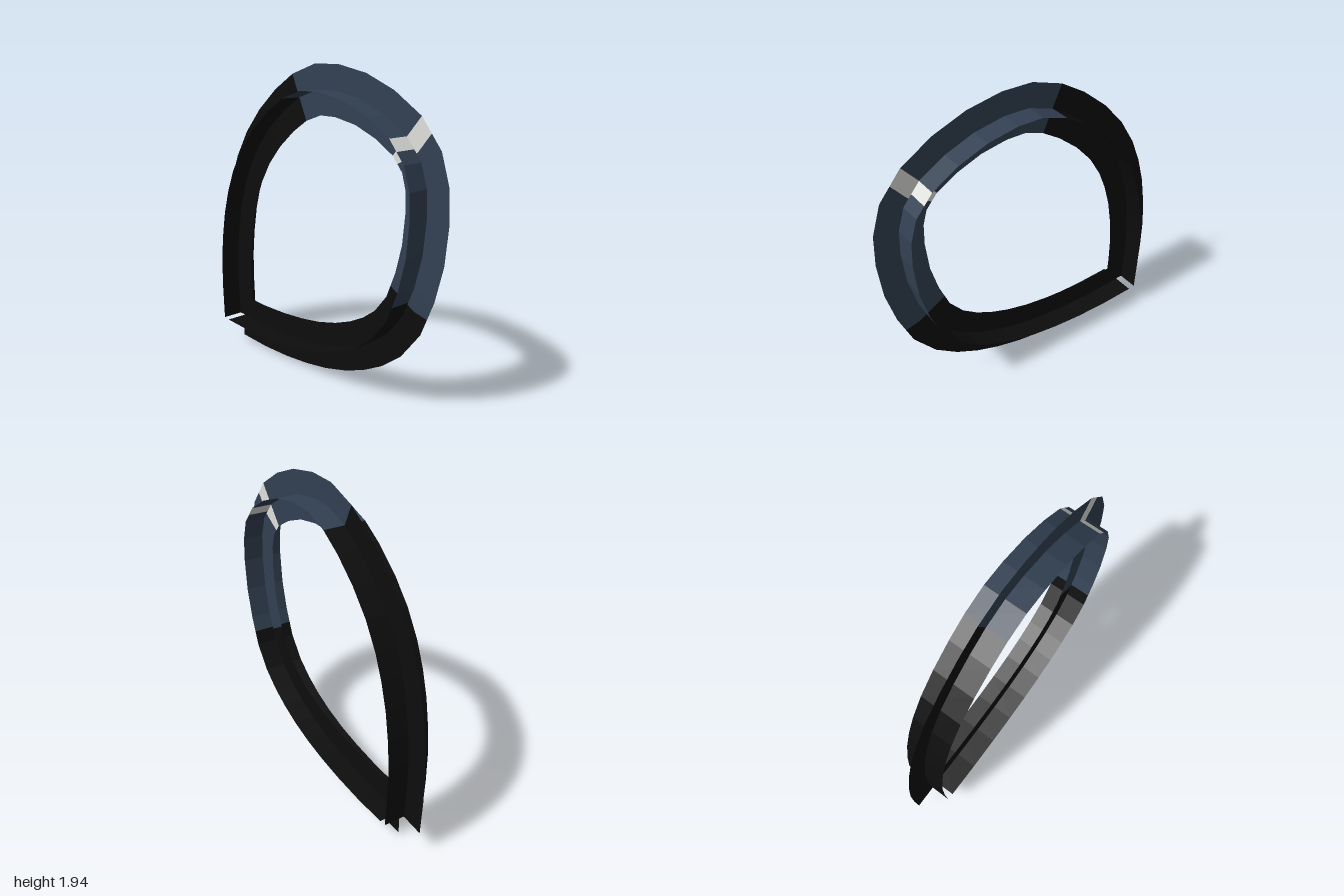
import * as THREE from 'three';

const HALF_WIDTH = 0.15; // flat ribbon, in the loop's plane
const HALF_DEPTH = 0.135; // upright ribbon, along z

// Centre line of the open loop, clockwise from the lower left corner
const PATH = [
  [-0.84, 0.165], [-0.85, 0.385], [-0.85, 0.575], [-0.8325, 0.75], [-0.8, 0.9275],
  [-0.7525, 1.085], [-0.69, 1.23], [-0.5925, 1.385], [-0.465, 1.525], [-0.315, 1.6475],
  [-0.1725, 1.735], [-0.0075, 1.79], [0.155, 1.7925], [0.35, 1.7575], [0.5325, 1.6875],
  [0.695, 1.59], [0.8, 1.465], [0.8425, 1.33], [0.85, 1.17], [0.83, 0.965],
  [0.78, 0.775], [0.705, 0.5925], [0.5925, 0.4525], [0.4725, 0.3625], [0.3425, 0.295],
  [0.2025, 0.2425], [0.0375, 0.2], [-0.1375, 0.1725], [-0.335, 0.155], [-0.555, 0.15],
  [-0.795, 0.16],
].map(([x, y]) => new THREE.Vector3(x, y, 0));

// Kinks in the flat ribbon's colour borders, by path position
const KINKS = { 15.5: new THREE.Vector3(0.77, 1.51, 0), 20.52: new THREE.Vector3(0.78, 0.64, 0) };

// Outer offset at a path point, from the mean direction of its neighbours
function outward(i) {
  const d = new THREE.Vector3();
  if (i > 0) d.add(PATH[i].clone().sub(PATH[i - 1]).normalize());
  if (i < PATH.length - 1) d.add(PATH[i + 1].clone().sub(PATH[i]).normalize());
  return new THREE.Vector3(-d.y, d.x, 0).setLength(HALF_WIDTH);
}

// Rows of points across each ribbon at path position t (may be fractional)
function section(t) {
  const i = Math.floor(t);
  const j = Math.min(i + 1, PATH.length - 1);
  const centre = PATH[i].clone().lerp(PATH[j], t - i);
  const out = outward(i).lerp(outward(j), t - i);
  const depth = new THREE.Vector3(0, 0, HALF_DEPTH);
  return {
    flat: [centre.clone().add(out), KINKS[t] ?? centre, centre.clone().sub(out)],
    upright: [centre.clone().add(depth), centre.clone().sub(depth)],
  };
}

// Joins consecutive rows into a strip of quads
function ribbon(rows) {
  const points = [];
  for (let r = 0; r < rows.length - 1; r++) {
    const p = rows[r], q = rows[r + 1];
    for (let k = 0; k < p.length - 1; k++) {
      points.push(p[k], p[k + 1], q[k], p[k + 1], q[k + 1], q[k]);
    }
  }
  const geometry = new THREE.BufferGeometry().setFromPoints(points);
  geometry.computeVertexNormals();
  return geometry;
}

function makeMaterial(name, color) {
  const m = new THREE.MeshStandardMaterial({ color, side: THREE.DoubleSide, flatShading: true });
  m.name = name;
  return m;
}

export function createModel() {
  const black = makeMaterial('black', 0x0d0d0d);
  const slate = makeMaterial('slate blue', 0x324052);
  const pale = makeMaterial('pale grey', 0xdfdfdc);

  const model = new THREE.Group();
  model.name = 'crossedRibbonLoop';

  // Coloured stretches of the loop
  const stretches = [
    ['leftArm', 0, 10, black],
    ['topArc', 10, 15, slate],
    ['paleBand', 15, 15.5, pale],
    ['rightArc', 15.5, 20.52, slate],
    ['bottomArm', 20.52, 30, black],
  ];
  for (const [name, from, to, material] of stretches) {
    const stops = [from];
    for (let i = Math.floor(from) + 1; i < to; i++) stops.push(i);
    stops.push(to);
    const sections = stops.map(section);

    const part = new THREE.Group();
    part.name = name;
    for (const kind of ['flat', 'upright']) {
      const mesh = new THREE.Mesh(ribbon(sections.map((s) => s[kind])), material);
      mesh.name = `${name} ${kind} ribbon`;
      part.add(mesh);
    }
    model.add(part);
  }
  return model;
}
